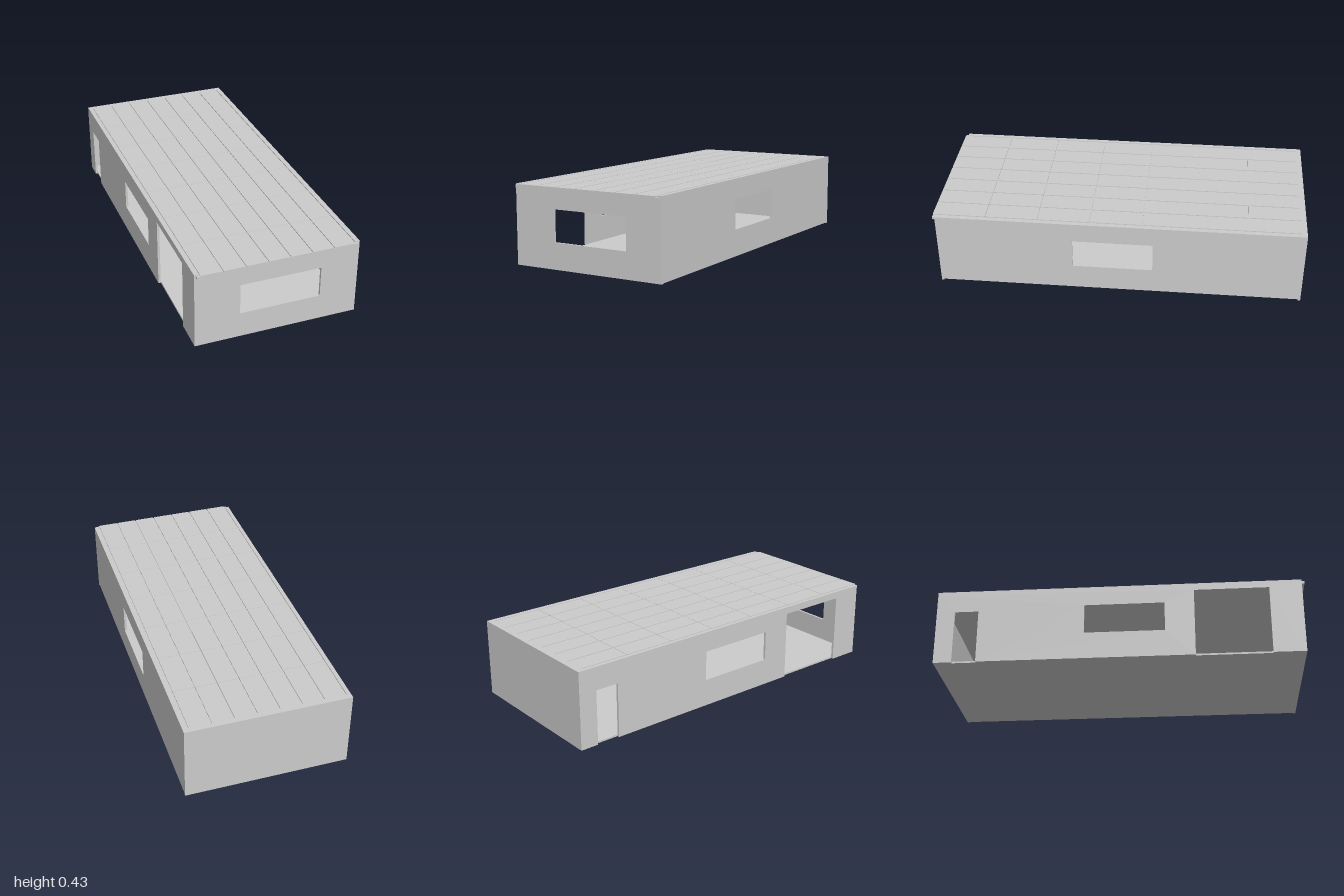
import * as THREE from 'three';

const material = new THREE.MeshStandardMaterial({ color: 0xcccccc, flatShading: true });
const T = 0.013; // wall thickness
const W = 0.44; // half width
const TOP = 0.41; // underside of the roof
const BACK = -1, FRONT = 0.985;

// Box given by its limits on each axis
function block(name, [x0, x1], [y0, y1], [z0, z1]) {
  const mesh = new THREE.Mesh(new THREE.BoxGeometry(x1 - x0, y1 - y0, z1 - z0), material);
  mesh.name = name;
  mesh.position.set((x0 + x1) / 2, (y0 + y1) / 2, (z0 + z1) / 2);
  return mesh;
}

function rectangle(Type, [a0, a1], [b0, b1]) {
  return new Type([[a0, b0], [a1, b0], [a1, b1], [a0, b1]].map(p => new THREE.Vector2(...p)));
}

// Upright wall in the xy plane with rectangular window openings
function panel(name, span, heights, openings) {
  const shape = rectangle(THREE.Shape, span, heights);
  for (const [a, b] of openings) shape.holes.push(rectangle(THREE.Path, a, b));
  const mesh = new THREE.Mesh(new THREE.ExtrudeGeometry(shape, { depth: T, bevelEnabled: false }), material);
  mesh.name = name;
  return mesh;
}

export function createModel() {
  const building = new THREE.Group();
  building.name = 'building';

  // Floor slab
  building.add(block('floor', [-W + T, W - 0.008], [0, 0.01], [BACK + T, FRONT - T]));

  // End walls
  const front = panel('frontWall', [-W, W], [0, TOP], [[[-0.2, 0.235], [0.14, 0.31]]]);
  front.position.z = FRONT - T;
  building.add(front, block('backWall', [-W, W], [0, TOP], [BACK, BACK + T]));

  // Right side wall with a window, its lower edge just above the ground
  const sideWindow = [[-0.245, 0.19], [0.15, 0.315]];
  const right = panel('windowSideWall', [-FRONT + T, -BACK - T], [0.01, TOP], [sideWindow]);
  right.rotation.y = Math.PI / 2;
  right.position.x = W - T;
  building.add(right);

  // Door side wall: door openings are notches cut from the bottom edge
  const doors = [[-0.9, -0.77, 0.3], [0.405, 0.81, 0.385]];
  const outline = new THREE.Shape();
  outline.moveTo(BACK + T, 0);
  for (const [z0, z1, height] of doors) {
    outline.lineTo(z0, 0).lineTo(z0, height).lineTo(z1, height).lineTo(z1, 0);
  }
  outline.lineTo(FRONT - T, 0).lineTo(FRONT - T, TOP).lineTo(BACK + T, TOP);
  outline.holes.push(rectangle(THREE.Path, [-0.19, 0.245], [0.15, 0.315]));
  const left = new THREE.Mesh(new THREE.ExtrudeGeometry(outline, { depth: T, bevelEnabled: false }), material);
  left.name = 'doorSideWall';
  left.rotation.y = -Math.PI / 2;
  left.position.x = -W + T;
  building.add(left);

  // Roof deck, showing in the grooves between the planks
  const roof = new THREE.Group();
  roof.name = 'roof';
  building.add(roof);
  roof.add(block('roofDeck', [-W + 0.01, W - 0.01], [TOP - 0.005, 0.42], [BACK + T, 1]));
  const surface = [TOP, 0.425];

  // Edge strips
  const grooves = Array.from({ length: 8 }, (_, i) => -0.415 + i * 0.118);
  const g = 0.003; // half groove width
  roof.add(block('backEdge', [-W, W], surface, [BACK, -0.97]));
  roof.add(block('leftEdge', [-W, grooves[0] - g], surface, [-0.97, FRONT]));
  roof.add(block('rightEdge', [grooves[7] + g, W], surface, [-0.97, FRONT]));

  // Planks in seven columns, split by fine cross seams
  const seams = [-0.97, -0.69, -0.41, -0.13, 0.153, 0.434, 0.716, 1];
  for (let i = 0; i < 7; i++) {
    for (let j = 0; j < 7; j++) {
      roof.add(block('roofPlank', [grooves[i] + g, grooves[i + 1] - g], surface,
        [seams[j] + (j ? 0.001 : 0), seams[j + 1] - (j < 6 ? 0.001 : 0)]));
    }
  }
  return building;
}
